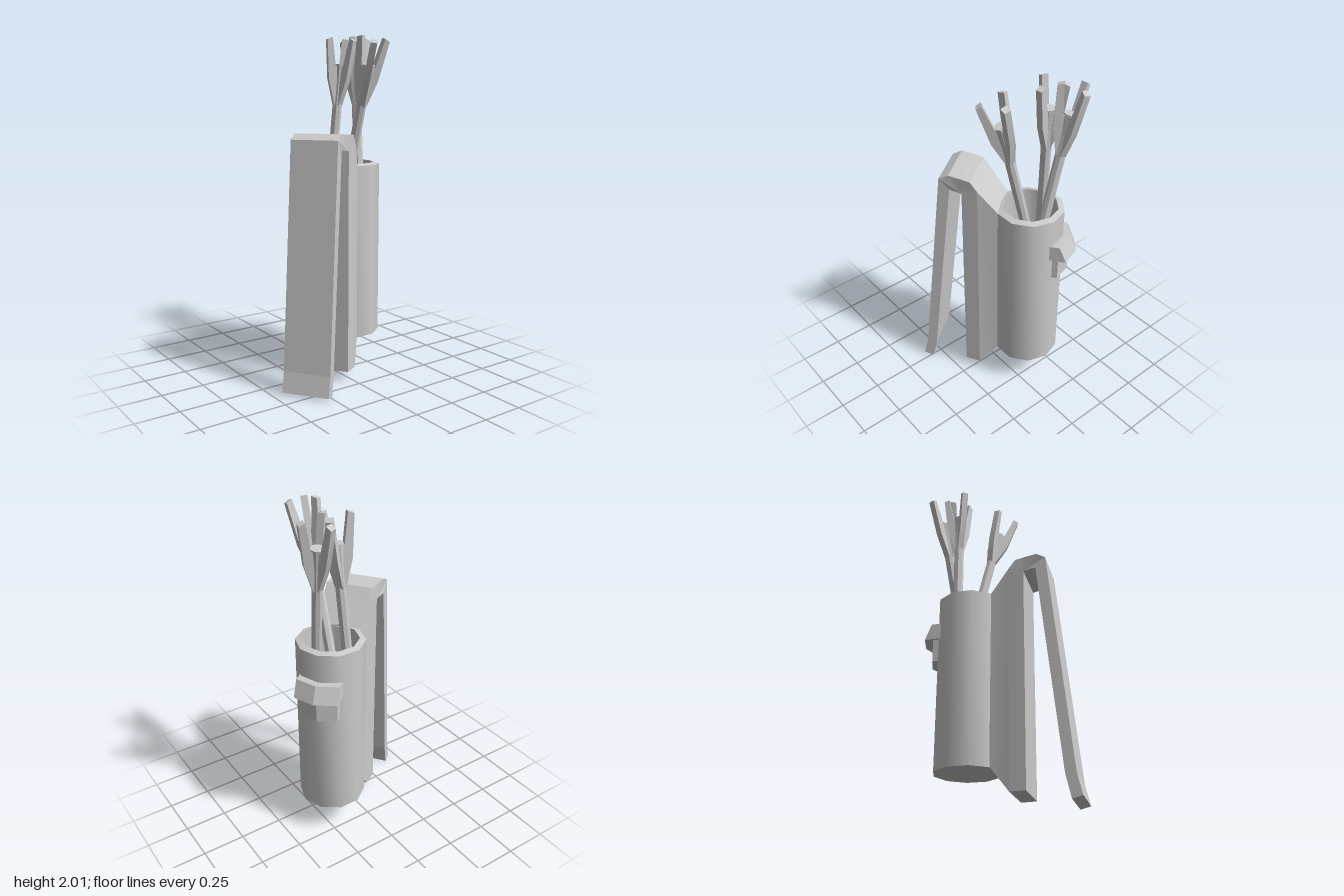
import * as THREE from 'three';
import { toCreasedNormals } from 'three/addons/utils/BufferGeometryUtils.js';

const CENTRE = [0.178, -0.12];
const material = new THREE.MeshStandardMaterial({ color: 0xcccccc });

function add(parent, name, geometry, crease = 0.7) {
  const mesh = new THREE.Mesh(toCreasedNormals(geometry, crease), material);
  mesh.name = name;
  parent.add(mesh);
  return mesh;
}

function polygon(points) {
  return new THREE.Shape(points.map(([x, y]) => new THREE.Vector2(x, y)));
}

function extrude(points, depth) {
  return new THREE.ExtrudeGeometry(polygon(points), { depth, bevelEnabled: false });
}

// Move every vertex by a rule
function warp(geometry, rule) {
  const p = geometry.attributes.position;
  const v = new THREE.Vector3();
  for (let i = 0; i < p.count; i++) {
    rule(v.fromBufferAttribute(p, i));
    p.setXYZ(i, v.x, v.y, v.z);
  }
  return geometry;
}

// Side profile (distance from the tube axis, height) widened into a strap piece
function strapPiece(points) {
  return warp(extrude(points, 1), (v) => {
    const t = THREE.MathUtils.clamp((v.x - 0.158) / 0.11, 0, 1);
    const half = 0.115 + 0.022 * t;
    const shift = 0.028 * THREE.MathUtils.smoothstep(v.x, 0.3, 0.44);
    v.z = shift + (v.z - 0.5) * 2 * half;
  });
}

// Plan outline bent around the tube, raised from y0 to y1
function wrapPiece(side, middle, half, y0, y1, flare) {
  const outline = [[0.13, -half], [side, -half], [middle, 0], [side, half], [0.13, half], [0.17, 0]];
  const geometry = extrude(outline, y1 - y0).rotateX(-Math.PI / 2).translate(0, y0, 0);
  return warp(geometry, (v) => {
    if (v.x > 0.18) v.x += flare * (y1 - v.y) / (y1 - y0);
  });
}

// Arrow with its nock end at the given point, leaning from base to nock
function makeArrow(base, nock, firstAngle) {
  const arrow = new THREE.Group();
  arrow.name = 'arrow';
  const from = new THREE.Vector3(...base);
  const to = new THREE.Vector3(...nock);
  const length = from.distanceTo(to);
  add(arrow, 'shaft', new THREE.CylinderGeometry(0.029, 0.029, length, 8).translate(0, -length / 2, 0), 0.3);
  add(arrow, 'nock', new THREE.CylinderGeometry(0.037, 0.029, 0.12, 8).translate(0, -0.06, 0), 0.3);
  const vane = [[0, -0.26], [0.026, -0.24], [0.072, -0.09], [0.1, 0.14], [0.068, 0.155], [0.036, -0.01], [0, -0.01]];
  for (let i = 0; i < 3; i++) {
    const mesh = add(arrow, 'vane', extrude(vane, 0.036).translate(0, 0, -0.018), 0.3);
    mesh.rotation.y = -THREE.MathUtils.degToRad(firstAngle + i * 120);
  }
  arrow.position.copy(to);
  arrow.quaternion.setFromUnitVectors(new THREE.Vector3(0, 1, 0), to.sub(from).normalize());
  return arrow;
}

export function createModel() {
  const model = new THREE.Group();
  model.name = 'quiver';

  // Ten-sided hollow tube
  const profile = [[0, 0.2], [0.195, 0.2], [0.195, 1.24], [0.16, 1.25], [0.16, 0.85], [0, 0.85]];
  const tube = add(model, 'tube', new THREE.LatheGeometry(
    profile.map(([x, y]) => new THREE.Vector2(x, y)), 10, Math.PI / 2));
  tube.position.set(CENTRE[0], 0, CENTRE[1]);

  // Back plate and hanging strap, reaching diagonally from the tube
  const strap = new THREE.Group();
  strap.name = 'strap';
  strap.position.copy(tube.position);
  strap.rotation.y = Math.PI * 1.2;
  model.add(strap);
  const pieces = {
    connector: [[0.15, 0.2], [0.158, 0.2], [0.268, 0.06], [0.268, 1.38], [0.158, 1.24], [0.15, 1.24]],
    backPlate: [[0.268, 0.06], [0.36, 0.06], [0.36, 1.36], [0.268, 1.38]],
    hookInner: [[0.268, 1.345], [0.36, 1.345], [0.36, 1.437], [0.307, 1.433], [0.268, 1.38]],
    hookOuter: [[0.36, 1.345], [0.435, 1.35], [0.495, 1.41], [0.44, 1.44], [0.36, 1.437]],
    hangingStrap: [[0.567, 0.13], [0.627, 0.13], [0.495, 1.41], [0.435, 1.35]],
    strapTip: [[0.597, 0], [0.655, 0.015], [0.627, 0.13], [0.567, 0.13]],
  };
  for (const [name, points] of Object.entries(pieces)) add(strap, name, strapPiece(points), 0.3);

  // Small pouch and flap on the far side of the tube
  const pouch = new THREE.Group();
  pouch.name = 'pouch';
  pouch.position.copy(tube.position);
  pouch.rotation.y = Math.PI * 0.2;
  model.add(pouch);
  add(pouch, 'pouchBody', wrapPiece(0.193, 0.23, 0.11, 0.845, 1.0, 0), 0.3);
  add(pouch, 'pouchFlap', wrapPiece(0.2, 0.235, 0.125, 0.98, 1.075, 0.04), 0.3);

  // Three arrows standing in the tube
  model.add(makeArrow([0.158, 0.8, -0.19], [0.175, 1.82, 0.093], 5));
  model.add(makeArrow([0.125, 0.85, -0.255], [0.195, 1.83, -0.21], 78));
  model.add(makeArrow([0.253, 0.85, -0.075], [0.325, 1.84, -0.24], 15));
  return model;
}
